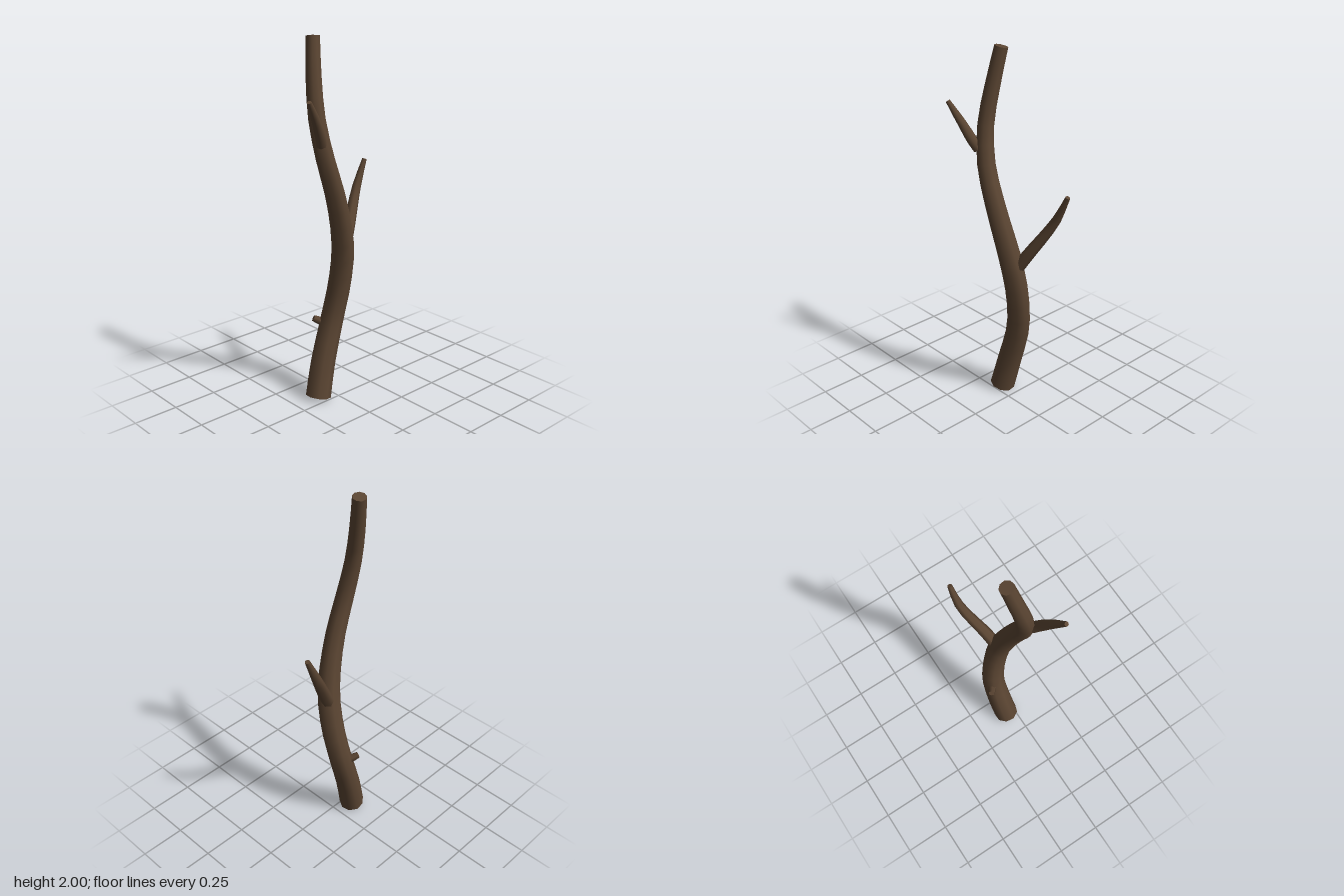
import * as THREE from 'three';

const bark = new THREE.MeshStandardMaterial({ color: 0x5c4633 });
bark.name = 'bark brown';

// Tapered limb: a tube whose rings follow a list of radii, with flat end caps
function limb(name, points, radii, segments, sides) {
  const curve = new THREE.CatmullRomCurve3(points.map(p => new THREE.Vector3(...p)));
  const tube = new THREE.TubeGeometry(curve, segments, 1, sides);
  const pos = tube.attributes.position;
  const ring = sides + 1;
  const v = new THREE.Vector3();
  const centres = [];
  for (let i = 0; i <= segments; i++) {
    const u = i / segments;
    const c = curve.getPointAt(u);
    centres.push(c);
    const t = u * (radii.length - 1);
    const k = Math.min(Math.floor(t), radii.length - 2);
    const r = THREE.MathUtils.lerp(radii[k], radii[k + 1], t - k);
    for (let j = 0; j < ring; j++) {
      const n = i * ring + j;
      v.fromBufferAttribute(pos, n).sub(c).multiplyScalar(r).add(c);
      pos.setXYZ(n, v.x, v.y, v.z);
    }
  }
  tube.computeBoundingSphere();

  // Cut ends
  const caps = [];
  for (const [i, flip] of [[0, false], [segments, true]]) {
    for (let j = 0; j < sides; j++) {
      const a = new THREE.Vector3().fromBufferAttribute(pos, i * ring + j);
      const b = new THREE.Vector3().fromBufferAttribute(pos, i * ring + j + 1);
      for (const p of flip ? [centres[i], b, a] : [centres[i], a, b]) caps.push(p);
    }
  }
  const capGeometry = new THREE.BufferGeometry().setFromPoints(caps);
  capGeometry.computeVertexNormals();

  const group = new THREE.Group();
  group.name = name;
  const side = new THREE.Mesh(tube, bark);
  side.name = name + 'Bark';
  const ends = new THREE.Mesh(capGeometry, bark);
  ends.name = name + 'Ends';
  group.add(side, ends);
  return group;
}

export function createModel() {
  const model = new THREE.Group();
  model.name = 'branch';

  // Main winding stem
  model.add(limb('stem', [
    [-0.105, 0.02, -0.052], [-0.06, 0.2, -0.065], [0.01, 0.45, -0.066],
    [0.037, 0.65, -0.037], [0.031, 0.85, 0], [0, 1.0, 0.022],
    [-0.06, 1.2, 0.04], [-0.125, 1.4, 0.038], [-0.155, 1.6, 0.012],
    [-0.142, 1.8, -0.025], [-0.115, 1.995, -0.06],
  ], [0.071, 0.068, 0.064, 0.063, 0.061, 0.055, 0.05, 0.045, 0.041, 0.036], 20, 9));

  // Side twigs
  model.add(limb('leftTwig', [
    [0.055, 0.85, -0.018], [0.11, 0.94, -0.045], [0.235, 1.15, -0.114], [0.304, 1.296, -0.124],
  ], [0.036, 0.032, 0.026, 0.013], 7, 7));
  model.add(limb('rightTwig', [
    [-0.165, 1.475, 0.055], [-0.185, 1.51, 0.072], [-0.235, 1.6, 0.1], [-0.308, 1.714, 0.134],
  ], [0.029, 0.027, 0.021, 0.012], 6, 7));

  // Short broken stub at the back
  model.add(limb('stub', [
    [-0.015, 0.425, -0.085], [-0.045, 0.44, -0.11], [-0.07, 0.455, -0.128],
  ], [0.027, 0.024, 0.018], 3, 6));

  return model;
}
